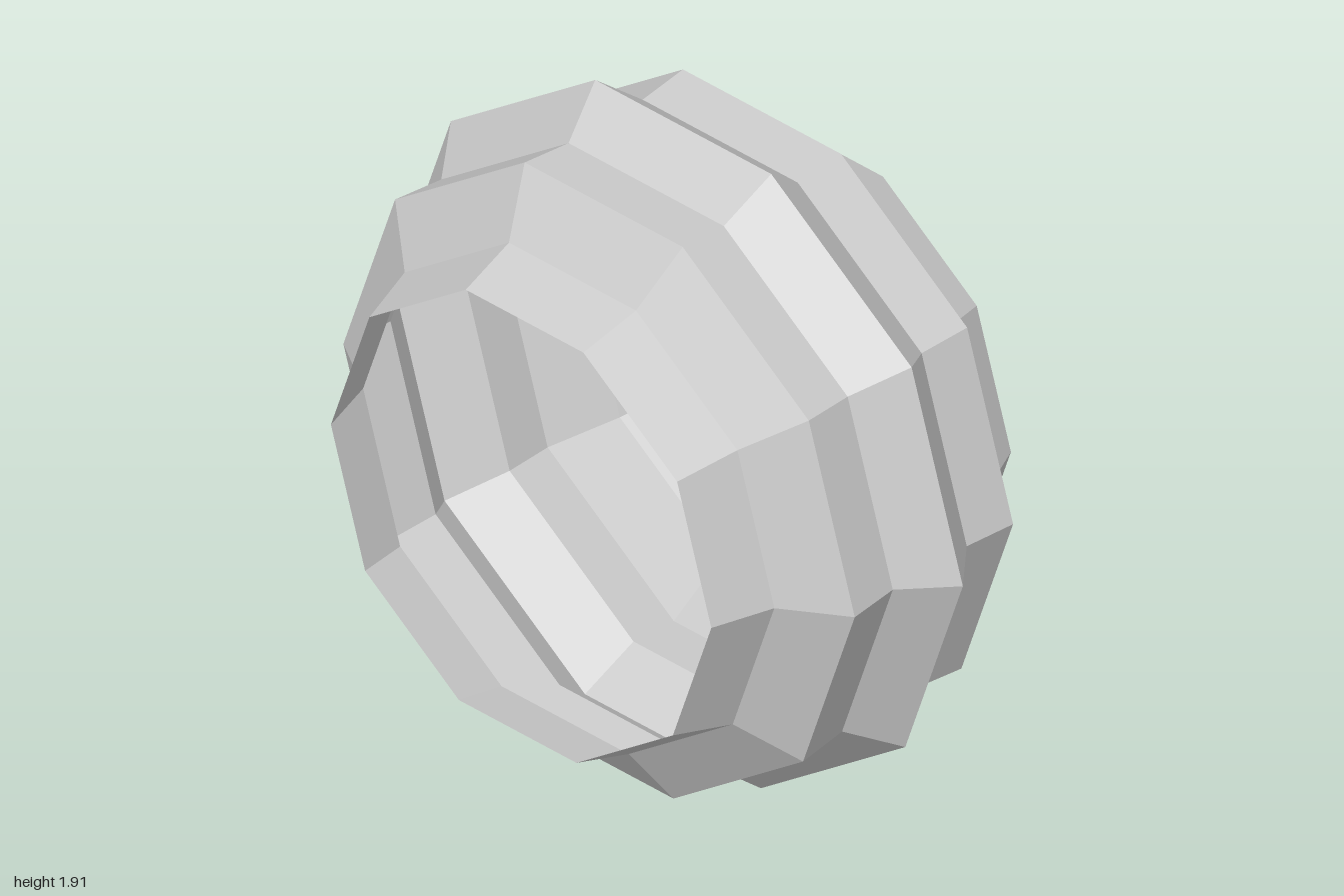
import * as THREE from 'three';

export function createModel() {
  const group = new THREE.Group();
  group.name = 'corrugatedRing';

  // Ridged cross-section: [position along the x axis, radius]
  const profile = [
    [-0.563, 0.668], [-0.384, 0.722], [-0.27, 0.898], [-0.11, 0.882], [0.027, 1.0],
    [0.168, 0.882], [0.325, 0.898], [0.442, 0.722], [0.563, 0.668],
  ].map(([x, r]) => new THREE.Vector2(r, x));

  // Ten-sided open band, turned so its axis runs along x, with a slight roll
  const geometry = new THREE.LatheGeometry(profile, 10, 0.019);
  geometry.rotateZ(-Math.PI / 2);
  geometry.computeBoundingBox();
  geometry.translate(0, -geometry.boundingBox.min.y, 0);

  const band = new THREE.Mesh(geometry, new THREE.MeshStandardMaterial({
    color: 0xcccccc, flatShading: true, side: THREE.DoubleSide,
  }));
  band.name = 'ringBand';
  group.add(band);
  return group;
}
